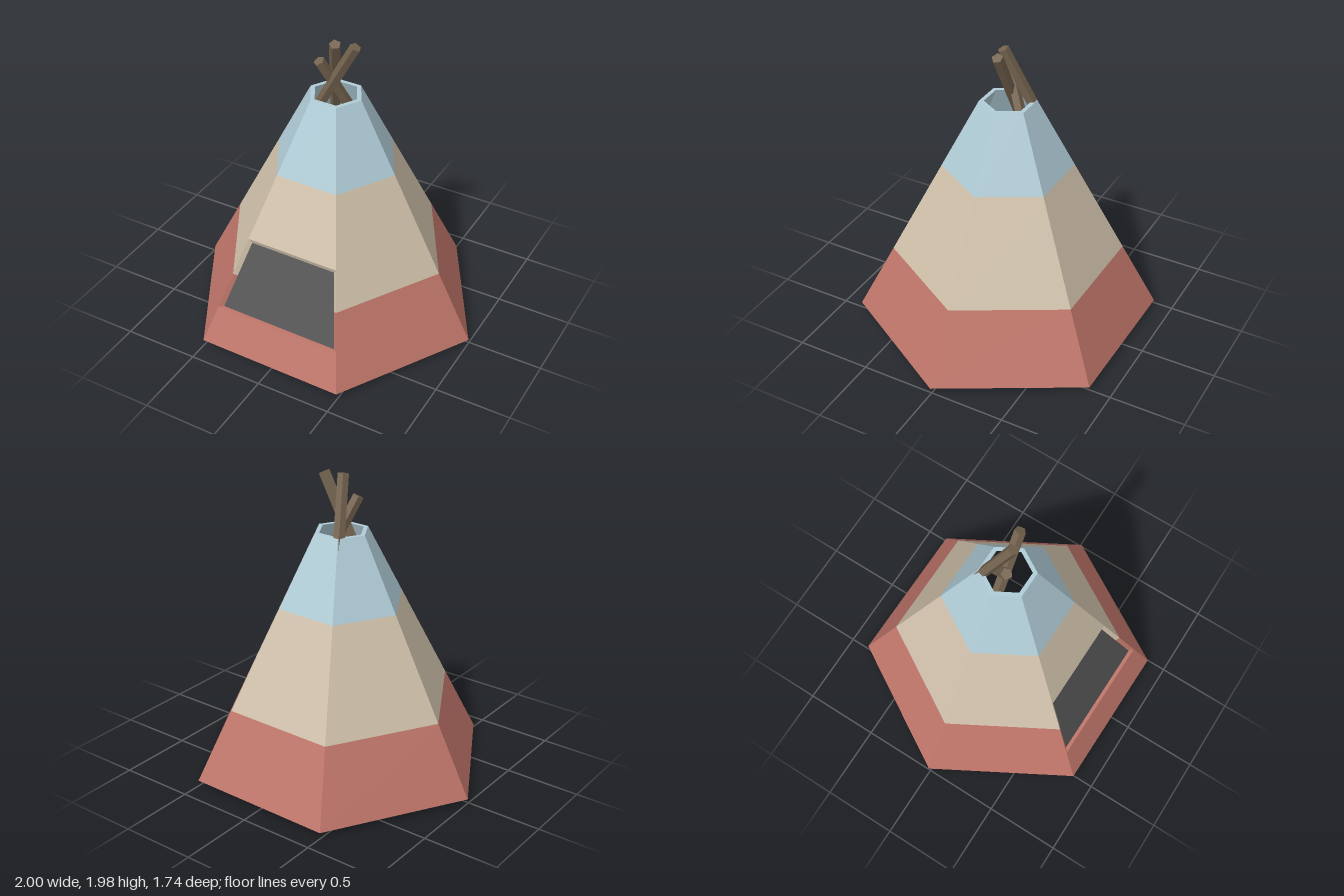
import * as THREE from 'three';

const mat = (name, color) => Object.assign(new THREE.MeshStandardMaterial({ color }), { name });

// Flat quads, corners counter-clockwise as seen from the visible side
function quadMesh(name, quads, material) {
  const points = quads.flatMap(([a, b, c, d]) => [a, b, c, a, c, d]);
  const geometry = new THREE.BufferGeometry().setFromPoints(points);
  geometry.computeVertexNormals();
  const mesh = new THREE.Mesh(geometry, material);
  mesh.name = name;
  return mesh;
}

export function createModel() {
  const red = mat('red canvas', 0xbf7569);
  const beige = mat('beige canvas', 0xcfc0aa);
  const blue = mat('blue canvas', 0xb0ccd7);
  const dark = mat('dark doorway', 0x525252);
  const wood = mat('wood', 0x74634f);

  const model = new THREE.Group();
  model.name = 'tent';
  const canvas = new THREE.Group();
  canvas.name = 'canvas';
  canvas.rotation.y = -0.011;
  model.add(canvas);

  // Corner k of the six-sided cone at height y, moved inwards by inset
  const SLOPE = 0.519, BASE = 0.03, TOP = 1.61, THICK = 0.03;
  const corner = (k, y, inset = 0) => {
    const r = 1 - SLOPE * (y - BASE) - inset;
    const a = (k * Math.PI) / 3;
    return new THREE.Vector3(r * Math.cos(a), y, r * Math.sin(a));
  };
  const wall = (k, y0, y1, inset = 0) =>
    [corner(k + 1, y0, inset), corner(k, y0, inset), corner(k, y1, inset), corner(k + 1, y1, inset)];

  // Coloured bands; face 1 is the front and leaves out the door opening
  const SILL = 0.265, LINTEL = 0.725, SPLIT = 0.49, FRONT = 1;
  const bands = [
    { name: 'lowerBand', y0: BASE, y1: SPLIT, m: red, front: [BASE, SILL] },
    { name: 'middleBand', y0: SPLIT, y1: 1.14, m: beige, front: [LINTEL, 1.14] },
    { name: 'upperBand', y0: 1.14, y1: TOP, m: blue, front: [1.14, TOP] },
  ];
  const faces = [0, 1, 2, 3, 4, 5];
  for (const { name, y0, y1, m, front } of bands) {
    const outer = faces.map((k) => (k === FRONT ? wall(k, ...front) : wall(k, y0, y1)));
    const bottom = y0 === BASE ? 0.02 : y0;
    const lining = faces.map((k) => wall(k, bottom, y1, THICK).reverse());
    canvas.add(quadMesh(name, outer, m), quadMesh(name + 'Lining', lining, m));
  }

  // Hems joining the outside to the lining
  const topHem = faces.map((k) =>
    [corner(k + 1, TOP), corner(k, TOP), corner(k, TOP, THICK), corner(k + 1, TOP, THICK)]);
  const bottomHem = faces.map((k) =>
    [corner(k, BASE), corner(k + 1, BASE), corner(k + 1, 0.02, THICK), corner(k, 0.02, THICK)]);
  canvas.add(quadMesh('topHem', topHem, blue), quadMesh('bottomHem', bottomHem, red));

  // Recessed dark doorway
  const v = (x, y, z) => new THREE.Vector3(x, y, z);
  const door = [v(-0.41, SILL, 0.737), v(0.41, SILL, 0.737), v(0.3, 0.695, 0.544), v(-0.3, 0.695, 0.544)];
  canvas.add(quadMesh('doorway', [door], dark));

  // Door frame: sill, lintel and two-coloured jambs
  const [bl, br, tr, tl] = door;
  const t = (SPLIT - SILL) / (LINTEL - SILL);
  const ml = bl.clone().lerp(tl, t), mr = br.clone().lerp(tr, t);
  const L = (y) => corner(2, y), R = (y) => corner(1, y);
  canvas.add(
    quadMesh('lowerDoorFrame', [
      [L(SILL), R(SILL), br, bl],
      [br, R(SILL), R(SPLIT), mr],
      [L(SILL), bl, ml, L(SPLIT)],
    ], red),
    quadMesh('upperDoorFrame', [
      [tl, tr, R(LINTEL), L(LINTEL)],
      [mr, R(SPLIT), R(LINTEL), tr],
      [L(SPLIT), ml, tl, L(LINTEL)],
    ], beige),
  );

  // Three poles from the rear corners, crossing at the smoke hole
  const poles = [
    [v(-0.92, 0.017, -0.01), v(0.135, 1.965, 0)],
    [v(-0.43, 0.017, -0.79), v(0.01, 1.965, 0.03)],
    [v(0.475, 0.017, -0.79), v(-0.09, 1.835, 0.05)],
  ];
  poles.forEach(([foot, tip], i) => {
    const along = tip.clone().sub(foot);
    const geometry = new THREE.CylinderGeometry(0.037, 0.037, along.length(), 5).toNonIndexed();
    geometry.computeVertexNormals();
    const pole = new THREE.Mesh(geometry, wood);
    pole.name = 'pole' + (i + 1);
    pole.position.copy(foot).add(tip).multiplyScalar(0.5);
    pole.quaternion.setFromUnitVectors(v(0, 1, 0), along.normalize());
    model.add(pole);
  });

  return model;
}
